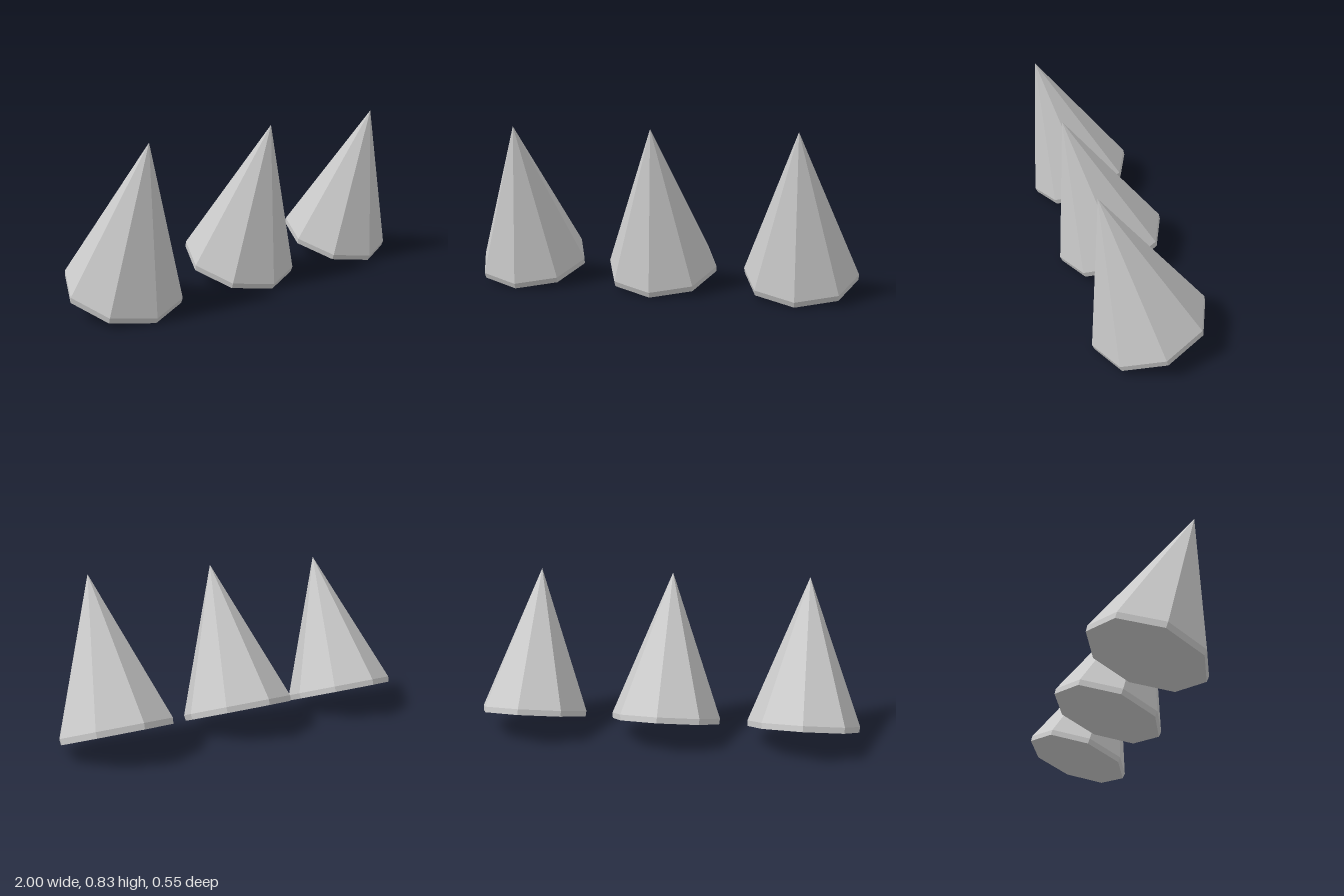
import * as THREE from 'three';

export function createModel() {
  const group = new THREE.Group();
  const material = new THREE.MeshStandardMaterial({ color: 0xcccccc, flatShading: true });

  // Eight-sided spike: closed base, thin flared rim, long pointed cone
  const profile = [[0, 0], [0.283, 0], [0.286, 0.0295], [0, 0.782]]
    .map(([r, y]) => new THREE.Vector2(r, y));
  const spike = new THREE.LatheGeometry(profile, 8);

  // Row of three, each leaning forward on the front edge of its base
  ['rightSpike', 'middleSpike', 'leftSpike'].forEach((name, i) => {
    const mesh = new THREE.Mesh(spike, material);
    mesh.name = name;
    mesh.position.set((i - 1) * 0.714, 0.092, -0.004);
    mesh.rotation.x = 0.322;
    group.add(mesh);
  });

  return group;
}
